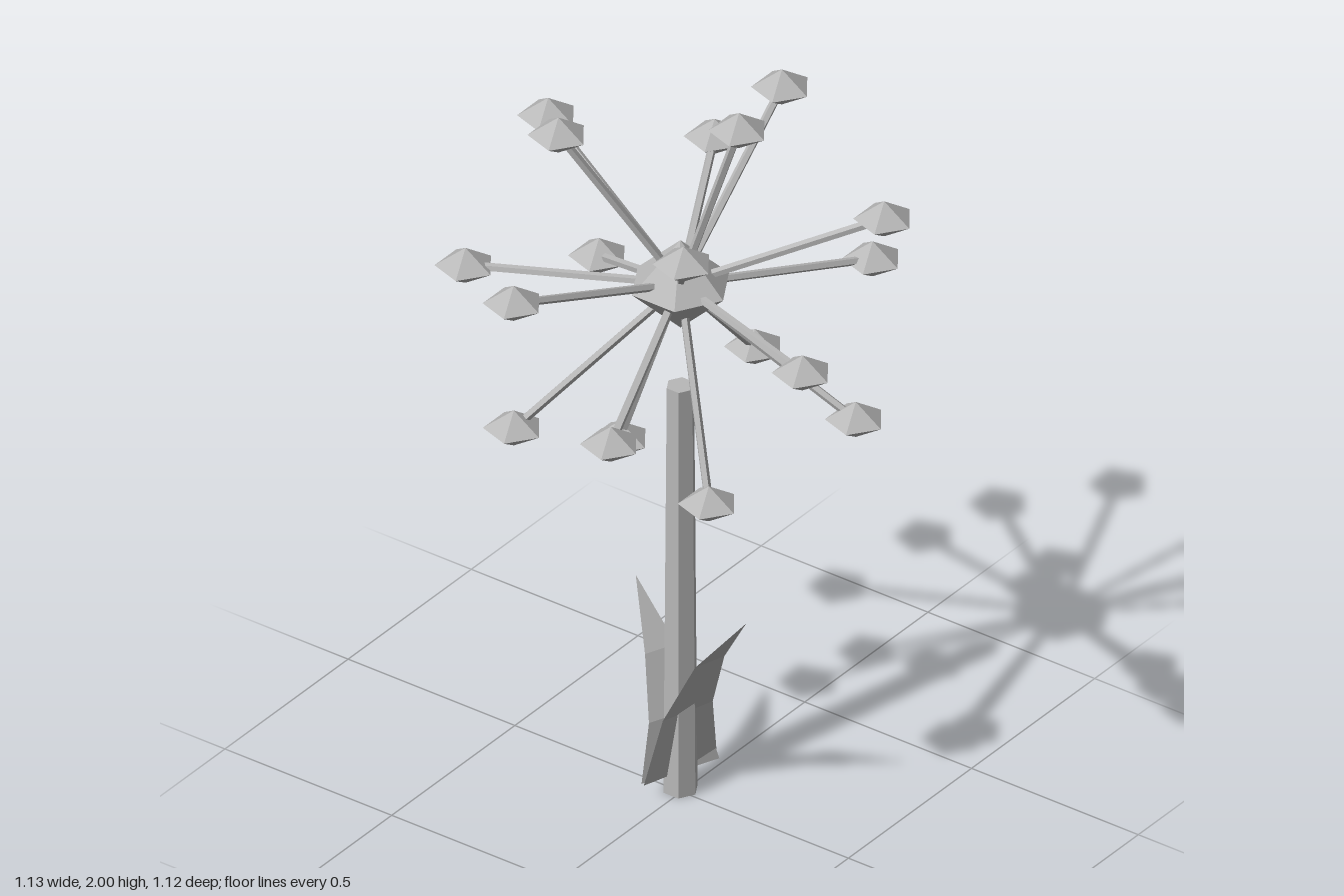
import * as THREE from 'three';

const grey = new THREE.MeshStandardMaterial({ color: 0xb8b8b8 });
grey.flatShading = true;
grey.side = THREE.DoubleSide;

const AXIS_X = -0.011, AXIS_Z = -0.01;
const UP = new THREE.Vector3(0, 1, 0);

function part(name, geometry, parent) {
  const mesh = new THREE.Mesh(geometry, grey);
  mesh.name = name;
  parent.add(mesh);
  return mesh;
}

// Double pyramid with one corner towards +x
function bipyramid(radius, halfHeight, sides) {
  return new THREE.SphereGeometry(1, sides, 2, Math.PI).scale(radius, halfHeight, radius);
}

// Blade that bends outwards along +x as it rises and narrows to a tip
function leafGeometry(height, reach, baseY) {
  const widths = [0.22, 0.15, 0.088, 0];
  const positions = [], index = [];
  widths.forEach((w, i) => {
    const t = i / (widths.length - 1);
    for (const side of [-1, 1]) positions.push(reach * t * t, baseY + height * t, side * w / 2);
    if (i > 0) {
      const a = 2 * (i - 1);
      index.push(a, a + 2, a + 1);
      if (w > 0) index.push(a + 1, a + 2, a + 3);
    }
  });
  const g = new THREE.BufferGeometry();
  g.setAttribute('position', new THREE.Float32BufferAttribute(positions, 3));
  g.setIndex(index);
  g.computeVertexNormals();
  return g;
}

export function createModel() {
  const model = new THREE.Group();
  model.name = 'seedHeadPlant';
  const plant = new THREE.Group();
  plant.name = 'plant';
  plant.position.set(AXIS_X, 0, AXIS_Z);
  model.add(plant);

  // Six-sided stem, slightly tapered
  part('stem', new THREE.CylinderGeometry(0.036, 0.045, 1.155, 6, 1, false, Math.PI / 2), plant)
    .position.y = 1.155 / 2;

  // Two leaves on opposite sides
  const leaves = [
    { name: 'leftLeaf', height: 0.56, reach: 0.267, angle: 17 },
    { name: 'rightLeaf', height: 0.45, reach: 0.206, angle: 202 },
  ];
  for (const { name, height, reach, angle } of leaves) {
    part(name, leafGeometry(height, reach, 0.05), plant).rotation.y = -THREE.MathUtils.degToRad(angle);
  }

  // Flower head: core with spokes spread evenly over a sphere
  const head = new THREE.Group();
  head.name = 'flowerHead';
  head.position.y = 1.445;
  plant.add(head);
  part('core', bipyramid(0.128, 0.125, 6), head);

  const count = 18, radius = 0.535;
  const golden = Math.PI * (3 - Math.sqrt(5));
  const podGeometry = bipyramid(0.075, 0.05, 5);
  const spokeGeometry = new THREE.CylinderGeometry(0.011, 0.011, radius, 5);
  for (let i = 0; i < count; i++) {
    const y = 1 - 2 * (i + 0.5) / count;
    const r = Math.sqrt(1 - y * y);
    const dir = new THREE.Vector3(r * Math.cos(i * golden), y, r * Math.sin(i * golden));
    const spoke = part('spoke', spokeGeometry, head);
    spoke.position.copy(dir).multiplyScalar(radius / 2);
    spoke.quaternion.setFromUnitVectors(UP, dir);
    part('pod', podGeometry, head).position.copy(dir).multiplyScalar(radius);
  }
  return model;
}
